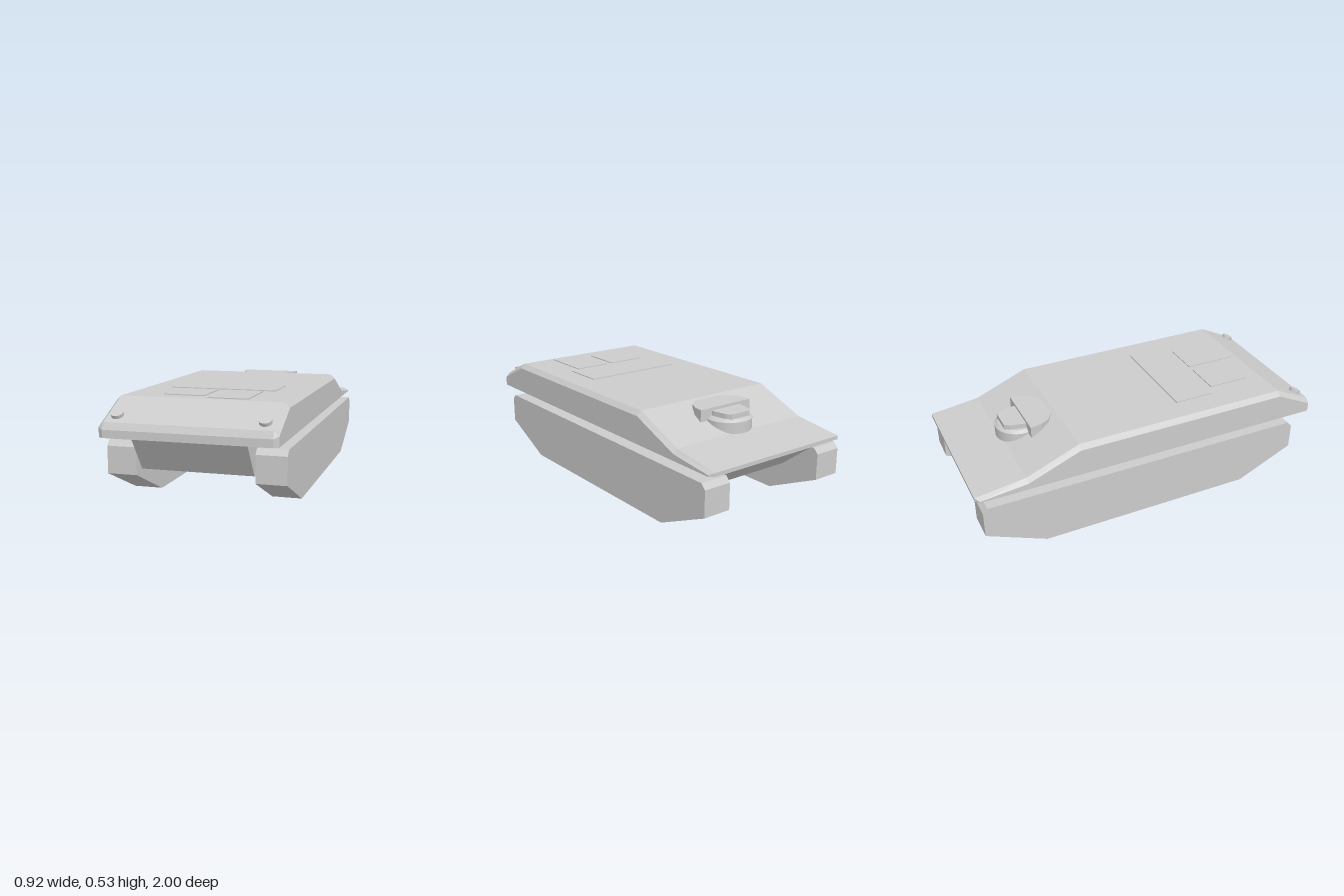
import * as THREE from 'three';

const material = new THREE.MeshStandardMaterial({ color: 0xcccccc, flatShading: true });
const smooth = new THREE.MeshStandardMaterial({ color: 0xcccccc });

function add(group, name, geometry, x = 0, y = 0, z = 0, mat = material) {
  const mesh = new THREE.Mesh(geometry, mat);
  mesh.name = name;
  mesh.position.set(x, y, z);
  group.add(mesh);
  return mesh;
}

function extrude(points, depth) {
  const shape = new THREE.Shape(points.map(([a, b]) => new THREE.Vector2(a, b)));
  return new THREE.ExtrudeGeometry(shape, { depth, bevelEnabled: false });
}

// Side profile of [z, y] points, given a width centred on x
const sideProfile = (points, width) =>
  extrude(points, width).translate(0, 0, -width / 2).rotateY(-Math.PI / 2);

// Plan of half-outline [x, z] points, mirrored across x and raised by a height
function plan(half, height) {
  const outline = half.map(([x, z]) => [x, -z]);
  const mirrored = outline.map(([x, z]) => [-x, z]).reverse();
  return extrude([...outline, ...mirrored], height).rotateX(-Math.PI / 2);
}

// Skin over closed rings that run from front to back, with end caps
function loft(rings) {
  const out = [];
  const n = rings[0].length;
  const tri = (...corners) => corners.forEach((c) => out.push(...c));
  for (let i = 0; i < rings.length - 1; i++) {
    for (let k = 0; k < n; k++) {
      const a = rings[i][k], b = rings[i][(k + 1) % n];
      const c = rings[i + 1][k], d = rings[i + 1][(k + 1) % n];
      tri(a, c, d);
      tri(a, d, b);
    }
  }
  const front = rings[0], back = rings[rings.length - 1];
  for (let k = 1; k < n - 1; k++) {
    tri(front[0], front[k], front[k + 1]);
    tri(back[0], back[k + 1], back[k]);
  }
  const geometry = new THREE.BufferGeometry();
  geometry.setAttribute('position', new THREE.Float32BufferAttribute(out, 3));
  geometry.computeVertexNormals();
  return geometry;
}

export function createModel() {
  const model = new THREE.Group();
  model.name = 'armouredVehicle';

  // Upper hull stations: z, side half-width, shoulder height, top height
  const stations = [
    [1, 0.42, 0.39, 0.39],
    [0.983, 0.445, 0.4, 0.425],
    [0.775, 0.445, 0.5, 0.525],
    [-0.435, 0.445, 0.5, 0.525],
    [-0.725, 0.445, 0.385, 0.407],
    [-0.978, 0.445, 0.358, 0.373],
    [-1, 0.42, 0.37, 0.37],
  ];
  add(model, 'upperHull', loft(stations.map(([z, w, shoulder, top]) => [
    [w, 0.35, z], [w, shoulder, z], [0.42, top, z],
    [-0.42, top, z], [-w, shoulder, z], [-w, 0.35, z],
  ])));

  // Lower hull between the tracks
  add(model, 'lowerHull', sideProfile(
    [[0.965, 0.355], [0.835, 0.172], [-0.75, 0.172], [-0.99, 0.355]], 0.578));

  // Track units
  const track = sideProfile([
    [0.87, 0.145], [0.55, 0], [-0.65, 0], [-0.975, 0.145],
    [-0.975, 0.285], [-0.95, 0.313], [0.845, 0.313], [0.87, 0.285],
  ], 0.155);
  add(model, 'leftTrack', track, 0.381);
  add(model, 'rightTrack', track, -0.381);

  // Round lamps on the front slope
  for (const side of [1, -1]) {
    const lamp = add(model, side > 0 ? 'leftLamp' : 'rightLamp',
      new THREE.CylinderGeometry(0.031, 0.031, 0.036, 24), side * 0.368, 0.45, 0.93);
    lamp.rotation.x = Math.atan2(0.1, 0.208);
  }

  // Roof plates: x from, x to, z from, z to
  const plates = {
    engineCover: [-0.288, 0.288, 0.2, 0.425],
    leftHatch: [0.025, 0.23, 0.455, 0.745],
    rightHatch: [-0.225, -0.012, 0.455, 0.69],
  };
  for (const [name, [x0, x1, z0, z1]] of Object.entries(plates)) {
    add(model, name, new THREE.BoxGeometry(x1 - x0, 0.02, z1 - z0),
      (x0 + x1) / 2, 0.52, (z0 + z1) / 2);
  }

  // Rear cupola: bevelled ring, faceted sight and front hood
  const cupola = new THREE.Group();
  cupola.name = 'cupola';
  model.add(cupola);
  add(cupola, 'cupolaBase', new THREE.CylinderGeometry(0.125, 0.125, 0.085, 40), 0, 0.4225, -0.622, smooth);
  add(cupola, 'cupolaBevel', new THREE.CylinderGeometry(0.108, 0.125, 0.014, 40), 0, 0.472, -0.622, smooth);
  add(cupola, 'sightBlock', plan(
    [[0.06, -0.717], [0.08, -0.69], [0.095, -0.62], [0.095, -0.59]], 0.045), 0, 0.46, 0);
  add(cupola, 'cupolaHood', plan(
    [[0.17, -0.604], [0.16, -0.545], [0.13, -0.49], [0.08, -0.457]], 0.09), 0, 0.43, 0);

  return model;
}
